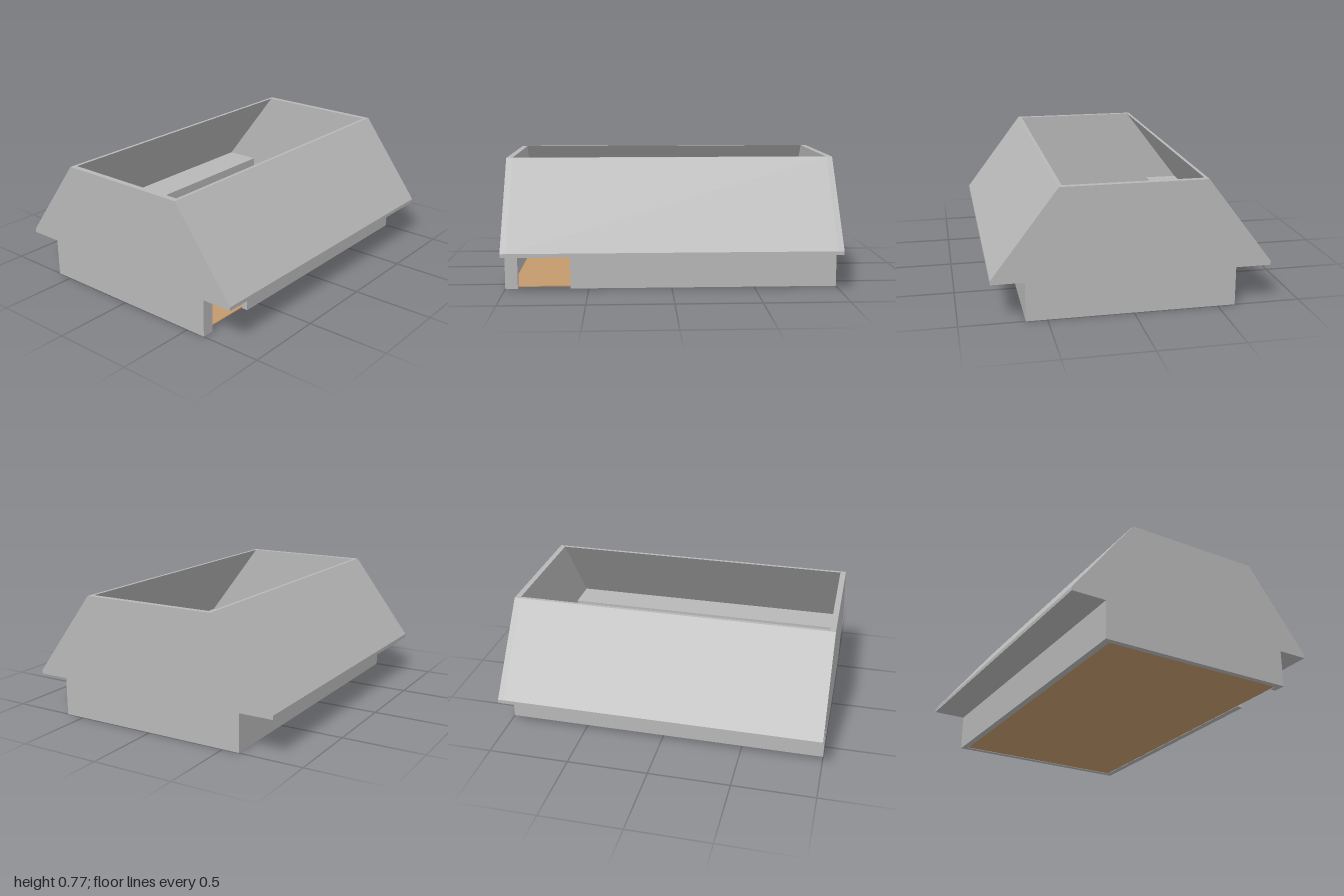
import * as THREE from 'three';

const grey = new THREE.MeshStandardMaterial({ color: 0xb8b8b8 });
grey.name = 'grey shell';
const tan = new THREE.MeshStandardMaterial({ color: 0xc49a6c });
tan.name = 'tan floor';

// Extrude a [z, y] cross-section along x from x0 to x1
function alongX(name, points, x0, x1, material = grey) {
  const shape = new THREE.Shape(points.map(([z, y]) => new THREE.Vector2(-z, y)));
  const geometry = new THREE.ExtrudeGeometry(shape, { depth: x1 - x0, bevelEnabled: false });
  geometry.rotateY(Math.PI / 2).translate(x0, 0, 0);
  const mesh = new THREE.Mesh(geometry, material);
  mesh.name = name;
  return mesh;
}

const rect = (z0, z1, y0, y1) => [[z0, y0], [z1, y0], [z1, y1], [z0, y1]];

export function createModel() {
  const model = new THREE.Group();
  model.name = 'openTopHouse';

  const front = 0.623, back = -0.605, wall = 0.04, end = 0.965;
  const eave = 0.815, eaveY = 0.232, lipY = 0.255, ridge = 0.425, topY = 0.77;

  // Gable end walls with the full house outline
  const outline = [
    [front, 0], [front, eaveY], [eave, eaveY], [eave, lipY], [ridge, topY],
    [-ridge, topY], [-eave, lipY], [-eave, eaveY], [back, eaveY], [back, 0],
  ];
  model.add(alongX('rightEndWall', outline, -1, -end));
  model.add(alongX('leftEndWall', outline, end, 1));

  // Sloping roof panels, each with a flat soffit reaching the wall's inner face
  const roof = (name, s, inner) => alongX(name, [
    [inner, eaveY], [s * eave, eaveY], [s * eave, lipY], [s * ridge, topY],
    [s * (ridge - 0.02), topY], [s * (eave - 0.02), lipY], [inner, lipY],
  ], -end, end);
  model.add(roof('frontRoof', 1, front - wall));
  model.add(roof('backRoof', -1, back + wall));

  // Low walls under the eaves; the front one leaves a doorway
  model.add(alongX('backWall', rect(back, back + wall, 0, eaveY), -end, end));
  model.add(alongX('frontWall', rect(front - wall, front, 0, eaveY), -0.61, end));
  model.add(alongX('doorPier', rect(front - wall, front, 0, eaveY), -end, -0.925));

  // Thin floor set between the walls
  model.add(alongX('floor', rect(back + wall, front - wall, 0.003, 0.009), -end, end, tan));

  return model;
}
